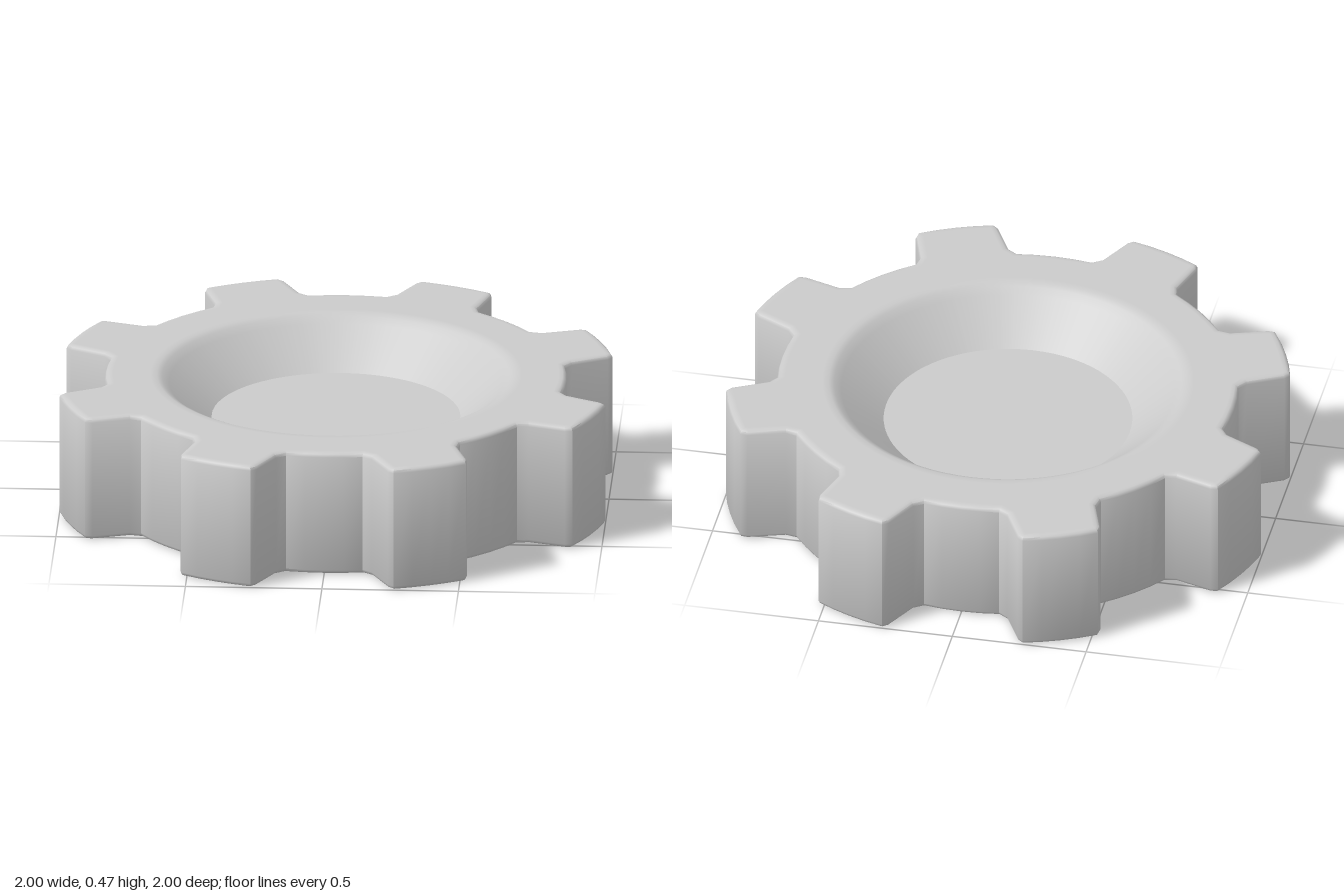
import * as THREE from 'three';
import { toCreasedNormals } from 'three/addons/utils/BufferGeometryUtils.js';

const TEETH = 8, HEIGHT = 0.47;

// Gear outline: half a valley and half a tooth, mirrored and repeated
function gearOutline() {
  const pitch = (Math.PI * 2) / TEETH;
  const half = [[0, 0.845], [0.071, 0.842], [0.14, 0.833], [0.175, 0.857],
    [0.24, 0.983], [0.262, 1.0], [0.33, 0.981]]
    .map(([x, z]) => [Math.atan2(x, z), Math.hypot(x, z)]);
  const mirrored = half.slice(1).reverse().map(([a, r]) => [pitch - a, r]);
  const unit = [...half, [pitch / 2, 1.035], ...mirrored];
  const points = [];
  for (let t = 0; t < TEETH; t++) {
    for (const [a, r] of unit) {
      const angle = a + t * pitch;
      points.push(new THREE.Vector2(Math.sin(angle) * r, Math.cos(angle) * r));
    }
  }
  return points;
}

// Move the closed outline inwards by a distance
function insetOutline(points, d) {
  const n = points.length;
  return points.map((p, i) => {
    const before = p.clone().sub(points[(i + n - 1) % n]).normalize();
    const after = points[(i + 1) % n].clone().sub(p).normalize();
    const dir = before.add(after).normalize();
    return new THREE.Vector2(p.x + dir.y * d, p.y - dir.x * d);
  });
}

// Join stacked loops of equal length into a surface
function loft(loops) {
  const n = loops[0].length, last = loops.length - 2;
  const position = [];
  const tri = (...corners) => corners.forEach((v) => position.push(v.x, v.y, v.z));
  for (let j = 0; j <= last; j++) {
    const a = loops[j], b = loops[j + 1];
    for (let i = 0; i < n; i++) {
      const k = (i + 1) % n;
      if (j > 0) tri(a[i], a[k], b[k]);
      if (j < last) tri(a[i], b[k], b[i]);
    }
  }
  const geometry = new THREE.BufferGeometry();
  geometry.setAttribute('position', new THREE.Float32BufferAttribute(position, 3));
  return toCreasedNormals(geometry, 0.68);
}

export function createModel() {
  const outline = gearOutline();
  const edge = (inset, y) => insetOutline(outline, inset)
    .map((p) => new THREE.Vector3(p.x, y, p.y));
  const circle = (r, y) => outline.map((p) => {
    const s = r / p.length();
    return new THREE.Vector3(p.x * s, y, p.y * s);
  });

  const loops = [
    // flat underside
    circle(0, 0), circle(0.66, 0), edge(0.03, 0),
    // toothed wall with softened edges
    edge(0.015, 0), edge(0.005, 0.005), edge(0, 0.015),
    edge(0, HEIGHT - 0.015), edge(0.005, HEIGHT - 0.005), edge(0.015, HEIGHT),
    // flat top and rounded rim of the dish
    edge(0.03, HEIGHT), circle(0.68, HEIGHT), circle(0.655, HEIGHT),
    circle(0.635, 0.461), circle(0.61, 0.44),
    // sloping dish wall and floor
    circle(0.455, 0.305), circle(0.43, 0.305), circle(0, 0.305),
  ];

  const gear = new THREE.Mesh(loft(loops), new THREE.MeshStandardMaterial({ color: 0xcccccc }));
  gear.name = 'dishedGear';

  const model = new THREE.Group();
  model.name = 'gear';
  model.add(gear);
  return model;
}
